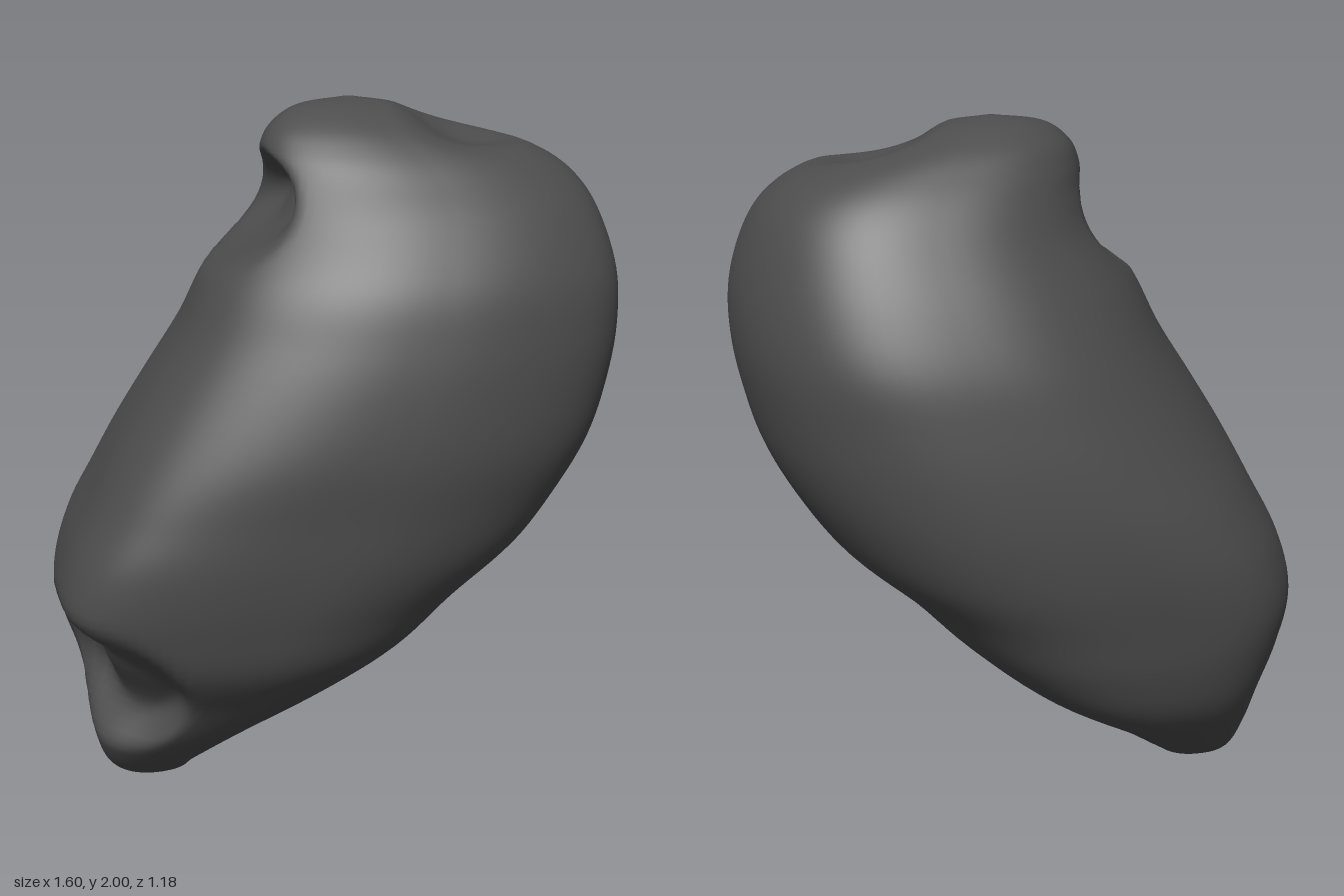
import * as THREE from 'three';

// Horizontal sections from bottom to top: y, xMin, xMax, zFront, zBack, squareness of the -x half
const SECTIONS = [
  [0.00, -0.58, -0.54, 0.05, 0.00, 2.0],
  [0.02, -0.63, -0.44, 0.11, -0.06, 2.1],
  [0.08, -0.68, -0.38, 0.19, -0.22, 2.3],
  [0.20, -0.71, -0.22, 0.30, -0.345, 2.5],
  [0.35, -0.735, 0.03, 0.405, -0.47, 2.7],
  [0.50, -0.78, 0.22, 0.51, -0.53, 3.0],
  [0.65, -0.80, 0.37, 0.552, -0.56, 3.3],
  [0.80, -0.76, 0.54, 0.575, -0.583, 3.3],
  [0.95, -0.685, 0.65, 0.583, -0.588, 3.0],
  [1.10, -0.61, 0.73, 0.59, -0.575, 2.6],
  [1.25, -0.52, 0.775, 0.575, -0.55, 2.4],
  [1.40, -0.425, 0.80, 0.546, -0.515, 2.3],
  [1.55, -0.35, 0.795, 0.50, -0.45, 2.2],
  [1.70, -0.24, 0.75, 0.41, -0.365, 2.2],
  [1.80, -0.20, 0.685, 0.33, -0.30, 2.2],
  [1.87, -0.185, 0.58, 0.265, -0.24, 2.2],
  [1.93, -0.155, 0.40, 0.19, -0.175, 2.1],
  [1.98, -0.08, 0.22, 0.095, -0.09, 2.0],
  [2.00, 0.05, 0.09, 0.02, -0.02, 2.0],
];
const SQUARENESS_RIGHT = 2.4; // of the +x half
const END_SHIFT = 0.09; // both ends of a section lean to the front

// Hollows: centre, radii, push, inner fraction pushed fully
const HOLLOWS = [
  { c: [-0.66, 0.45, 0.27], r: [0.29, 0.29, 0.36], push: [0.10, -0.01, -0.09], core: 0.45 },
  { c: [-0.25, 1.71, 0.10], r: [0.21, 0.19, 0.28], push: [0.13, 0.02, -0.01], core: 0.3 },
  { c: [0.36, 1.91, 0.07], r: [0.22, 0.20, 0.20], push: [-0.01, -0.055, 0], core: 0.1 },
  { c: [-0.38, 0.11, -0.10], r: [0.10, 0.08, 0.12], push: [-0.04, 0.04, 0.01], core: 0.3 },
];

const COLS = 96;
const ROWS = 108;

// Presses one point into every hollow it lies in
function press(p) {
  const moved = p.clone();
  for (const { c, r, push, core } of HOLLOWS) {
    const d = Math.hypot((p.x - c[0]) / r[0], (p.y - c[1]) / r[1], (p.z - c[2]) / r[2]);
    const w = 1 - THREE.MathUtils.smoothstep(d, core, 1);
    moved.addScaledVector(new THREE.Vector3(...push), w);
  }
  return moved;
}

function stoneGeometry() {
  const spline = (a, b, c) => new THREE.CatmullRomCurve3(
    SECTIONS.map((s) => new THREE.Vector3(s[a], s[b], s[c])), false, 'catmullrom', 0.5);
  const side = spline(1, 2, 0);
  const depth = spline(3, 4, 5);
  const positions = [];
  const index = [];

  // Rings of rounded cross-sections
  for (let i = 0; i <= ROWS; i++) {
    const s = side.getPoint(i / ROWS);
    const d = depth.getPoint(i / ROWS);
    const halfDepth = (d.x - d.y) / 2;
    for (let j = 0; j < COLS; j++) {
      const a = (j / COLS) * Math.PI * 2;
      const power = 2 / (Math.cos(a) < 0 ? d.z : SQUARENESS_RIGHT);
      const round = (v) => Math.sign(v) * Math.pow(Math.abs(v), power);
      const u = round(Math.cos(a));
      const p = press(new THREE.Vector3(
        (s.x + s.y) / 2 + u * (s.y - s.x) / 2,
        s.z,
        (d.x + d.y) / 2 + round(Math.sin(a)) * halfDepth + END_SHIFT * u ** 4 * halfDepth / 0.5));
      positions.push(p.x, p.y, p.z);
    }
  }
  for (let i = 0; i < ROWS; i++) {
    for (let j = 0; j < COLS; j++) {
      const a = i * COLS + j;
      const b = i * COLS + (j + 1) % COLS;
      index.push(a, a + COLS, b, b, a + COLS, b + COLS);
    }
  }

  // Tiny caps at both ends
  const top = ROWS * COLS;
  for (let j = 1; j < COLS - 1; j++) {
    index.push(0, j, j + 1, top, top + j + 1, top + j);
  }

  const geometry = new THREE.BufferGeometry();
  geometry.setAttribute('position', new THREE.Float32BufferAttribute(positions, 3));
  geometry.setIndex(index);
  geometry.computeVertexNormals();
  return geometry;
}

export function createModel() {
  const group = new THREE.Group();
  group.name = 'leaningStone';
  const darkGrey = new THREE.MeshStandardMaterial({ color: 0x4c4c4c });
  darkGrey.name = 'dark grey';
  const stone = new THREE.Mesh(stoneGeometry(), darkGrey);
  stone.name = 'stone';
  group.add(stone);
  return group;
}
